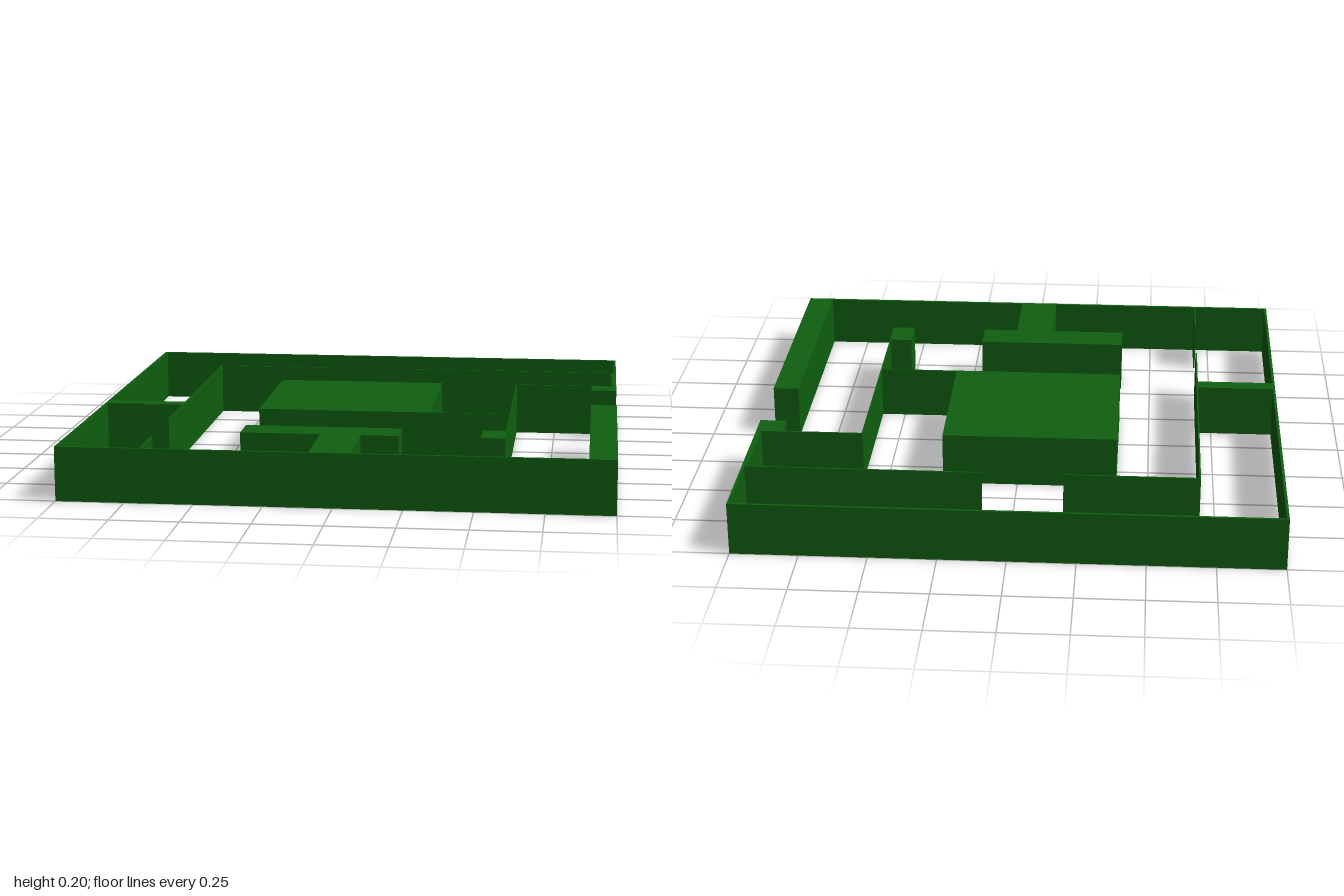
import * as THREE from 'three';

const HEIGHT = 0.2;

export function createModel() {
  const maze = new THREE.Group();
  maze.name = 'hedgeMaze';
  const hedge = new THREE.MeshStandardMaterial({ color: 0x0f5f10 });

  // Upright block standing on the ground, given by its plan rectangle
  function block(name, x0, x1, z0, z1) {
    const mesh = new THREE.Mesh(new THREE.BoxGeometry(x1 - x0, HEIGHT, z1 - z0), hedge);
    mesh.position.set((x0 + x1) / 2, HEIGHT / 2, (z0 + z1) / 2);
    mesh.name = name;
    maze.add(mesh);
  }
  // Thin walls running along x or along z
  const wallX = (name, z, x0, x1, t = 0.006) => block(name, x0, x1, z - t / 2, z + t / 2);
  const wallZ = (name, x, z0, z1, t = 0.006) => block(name, x - t / 2, x + t / 2, z0, z1);

  // Outer boundary, with the entrance on the left side
  wallX('outerBackWall', -0.995, -1, 1, 0.01);
  wallX('outerFrontWall', 0.995, -1, 1, 0.01);
  wallZ('outerRightWall', -0.995, -0.99, 0.99, 0.01);
  wallZ('outerLeftWall', 0.995, -0.99, -0.69, 0.01);
  block('outerLeftThickWall', 0.98, 1, -0.69, -0.38);
  block('entranceBackPost', 0.9, 1, -0.38, -0.285);
  block('entranceFrontHedge', 0.9, 1, 0.02, 0.99);

  // Inner ring
  wallX('innerBackWallRight', -0.69, -0.69, -0.19);
  wallX('innerBackWallLeft', -0.69, 0.11, 0.98);
  wallZ('innerRightWall', -0.69, -0.69, 0.485);
  wallZ('innerRightWallEnd', -0.69, 0.79, 0.99);
  wallX('innerLeftReturn', -0.38, 0.595, 0.98);
  wallZ('innerLeftWall', 0.593, -0.38, 0.55, 0.004);
  block('innerLeftPost', 0.505, 0.595, 0.55, 0.685);
  block('rightCrossHedge', -0.99, -0.69, 0.13, 0.19);

  // Centre block and its link to the inner left wall
  block('centreBlock', -0.38, 0.285, -0.38, 0.24);
  wallX('centreLink', 0.238, 0.285, 0.593, 0.004);

  // T-shaped hedge at the front
  block('frontHedgeBar', -0.38, 0.205, 0.55, 0.685);
  block('frontHedgeStem', -0.085, 0.065, 0.685, 0.99);

  return maze;
}
